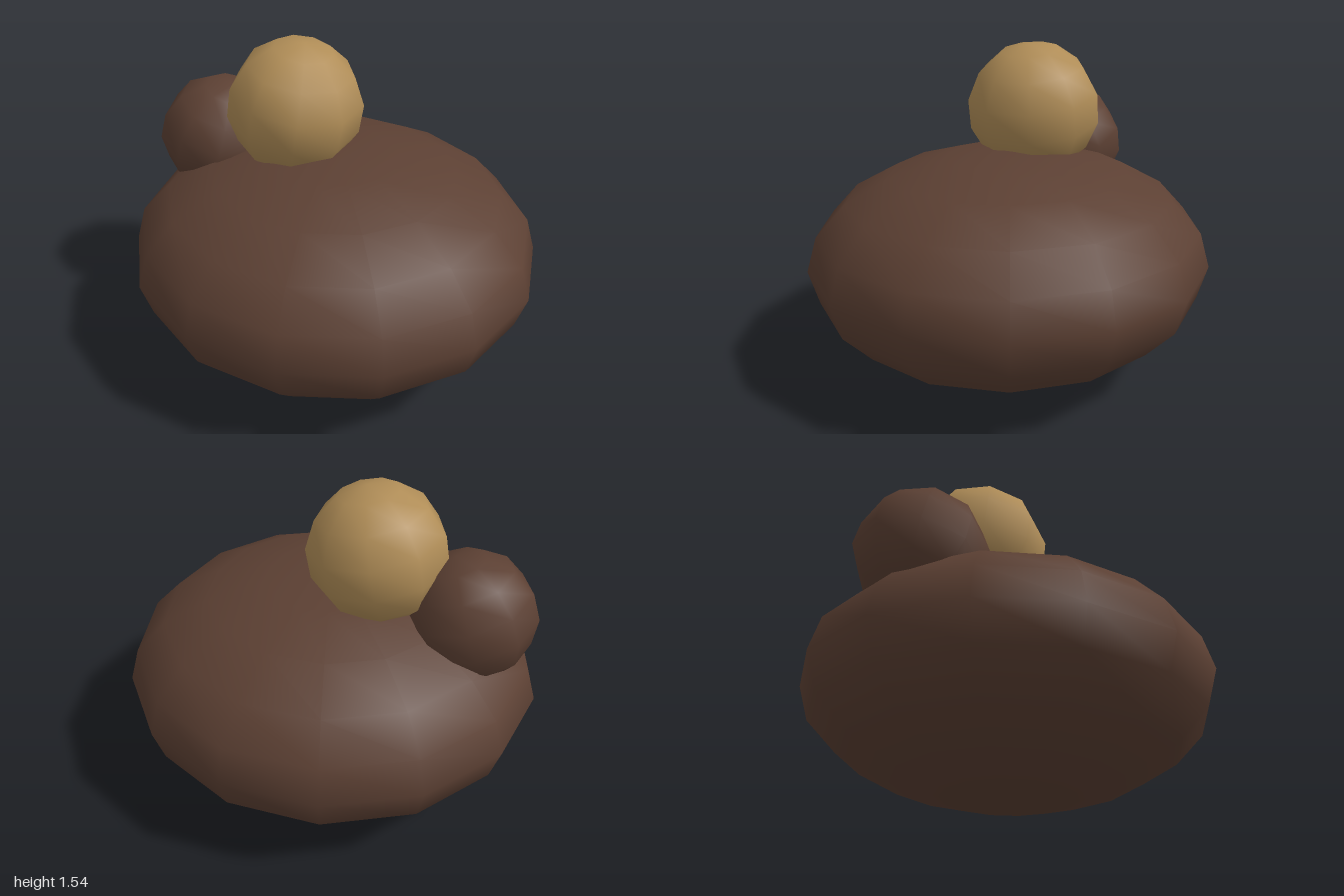
import * as THREE from 'three';

const brown = new THREE.MeshStandardMaterial({ color: 0x5c4033 });
const gold = new THREE.MeshStandardMaterial({ color: 0xb08d57 });

// Low-poly ball with smooth normals, leaning towards +x by tilt degrees
function ball(name, material, radius, segments, rows, position, tilt = 0) {
  const mesh = new THREE.Mesh(new THREE.SphereGeometry(radius, segments, rows), material);
  mesh.name = name;
  mesh.position.set(...position);
  mesh.rotation.z = THREE.MathUtils.degToRad(-tilt);
  return mesh;
}

export function createModel() {
  const group = new THREE.Group();

  // Wide flattened body
  const body = ball('body', brown, 1, 14, 10, [0, 0.528, 0]);
  body.scale.set(1, 0.528, 0.96);
  group.add(body);

  // Two balls resting on the body
  group.add(ball('goldenBall', gold, 0.325, 9, 7, [-0.22, 1.22, -0.03], 10));
  group.add(ball('brownBall', brown, 0.302, 9, 7, [-0.66, 0.97, -0.03], 18));

  return group;
}
